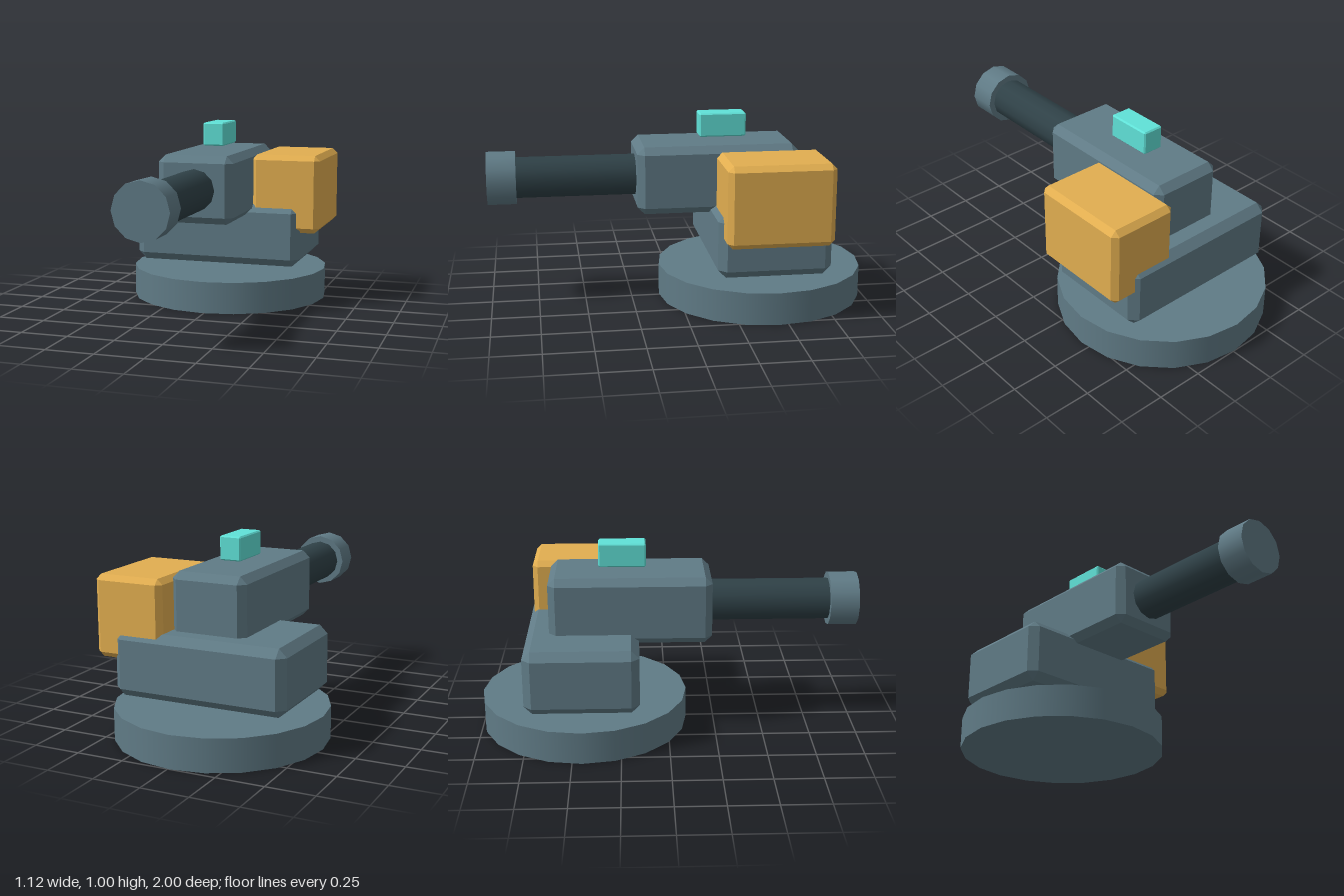
import * as THREE from 'three';
import { ConvexGeometry } from 'three/addons/geometries/ConvexGeometry.js';

const CX = -0.012; // shared centre line of base, turret and barrel

const paint = (color) => new THREE.MeshStandardMaterial({ color });

// Box between two corners with every edge cut by a flat chamfer c
function chamferBox(name, min, max, c, material) {
  const centre = min.map((v, i) => (v + max[i]) / 2);
  const half = max.map((v, i) => (v - min[i]) / 2);
  const points = [];
  for (const sx of [-1, 1]) for (const sy of [-1, 1]) for (const sz of [-1, 1]) {
    for (let full = 0; full < 3; full++) {
      const p = [sx, sy, sz].map((s, i) => s * (half[i] - (i === full ? 0 : c)));
      points.push(new THREE.Vector3(...p));
    }
  }
  const mesh = new THREE.Mesh(new ConvexGeometry(points), material);
  mesh.name = name;
  mesh.position.set(...centre);
  return mesh;
}

// Cylinder along z between z0 and z1
function tubeAlongZ(name, radius, z0, z1, material) {
  const geometry = new THREE.CylinderGeometry(radius, radius, z1 - z0, 12);
  geometry.rotateX(Math.PI / 2);
  const mesh = new THREE.Mesh(geometry, material);
  mesh.name = name;
  mesh.position.set(CX, 0.68, (z0 + z1) / 2);
  return mesh;
}

export function createModel() {
  const model = new THREE.Group();
  model.name = 'gunTurret';

  const steel = paint(0x607b86);
  const darkSteel = paint(0x2f4147);
  const amber = paint(0xe2ae50);
  const cyan = paint(0x60e2d8);

  // Round base plate
  const base = new THREE.Mesh(new THREE.CylinderGeometry(0.55, 0.55, 0.17, 20), steel);
  base.name = 'basePlate';
  base.position.set(CX, 0.085, -0.45);
  model.add(base);

  // Body, gun housing, ammunition box and sight
  model.add(
    chamferBox('body', [-0.477, 0.222, -0.743], [0.453, 0.56, -0.153], 0.042, steel),
    chamferBox('gunHousing', [-0.215, 0.502, -0.62], [0.19, 0.857, 0.228], 0.037, steel),
    chamferBox('ammoBox', [0.183, 0.41, -0.725], [0.558, 0.832, -0.178], 0.028, amber),
    chamferBox('sight', [-0.07, 0.88, -0.36], [0.045, 1.005, -0.113], 0.007, cyan),
  );

  // Barrel and muzzle
  model.add(
    tubeAlongZ('barrel', 0.11, 0.1, 0.9, darkSteel),
    tubeAlongZ('muzzle', 0.143, 0.85, 1, steel),
  );

  return model;
}
